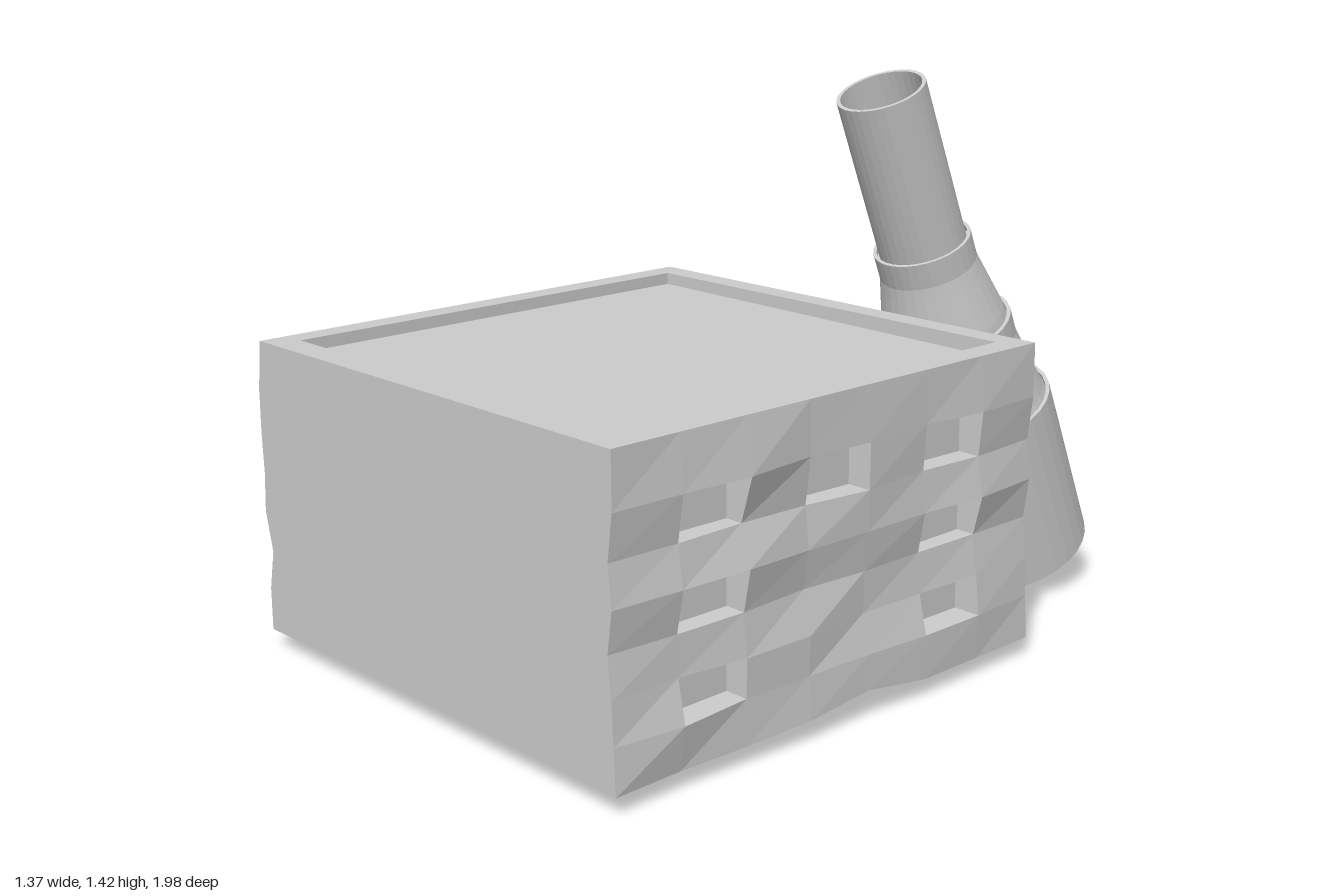
import * as THREE from 'three';

const grey = new THREE.MeshStandardMaterial({ color: 0xcccccc, flatShading: true });
grey.name = 'plainGrey';

// seeded noise in -1..1
let seed = 7;
function noise() {
  seed = (seed * 16807) % 2147483647;
  return (seed / 2147483647) * 2 - 1;
}

// grid lines of the side walls and half-widths along their front edges
const Z = [0.985, 0.8, 0.61, 0.42, 0.23, 0.04, -0.15, -0.345];
const Y = [0.05, 0.16, 0.26, 0.36, 0.46, 0.56, 0.67, 0.8];
const edgeRight = [0.665, 0.66, 0.655, 0.645, 0.66, 0.65, 0.665, 0.665];
const edgeLeft = [0.67, 0.67, 0.65, 0.675, 0.67, 0.675, 0.675, 0.66];
const INNER_X = 0.597, INNER_FRONT = 0.91, INNER_BACK = -0.28, FLOOR_Y = 0.765;

// uneven wall surface as a grid of points, [z index][y index]
function wallGrid(s) {
  return Z.map((z, i) => Y.map((y, j) => {
    const base = (s > 0 ? edgeRight : edgeLeft)[j];
    const top = j === 7, end = i === 0 || i === 7;
    const x = base + (end || top ? 0 : 0.006 + noise() * 0.012);
    const bump = s > 0 && j === 0 && (i === 4 || i === 3) ? (i === 4 ? 0.025 : 0.008) : 0;
    const lift = top ? s * 0.004 : (end || j === 0 ? 0 : noise() * 0.004);
    return [s * x, y + lift + bump, z];
  }));
}

function quadMesh(name, quads) {
  const pos = [];
  for (const [a, b, c, d] of quads) pos.push(...a, ...b, ...c, ...a, ...c, ...d);
  const g = new THREE.BufferGeometry();
  g.setAttribute('position', new THREE.Float32BufferAttribute(pos, 3));
  g.computeVertexNormals();
  const m = new THREE.Mesh(g, grey);
  m.name = name;
  return m;
}

// windows in columns 1, 3, 5 of the top row and 1, 5 of the lower rows
const isWindow = (i, j) => j % 2 === 1 && j < 6 && (i === 1 || i === 5 || (i === 3 && j === 5));

function createBuilding() {
  const building = new THREE.Group();
  building.name = 'building';
  const R = wallGrid(1), L = wallGrid(-1);
  const inner = (p, y) => [
    Math.sign(p[0]) * INNER_X, y ?? p[1],
    THREE.MathUtils.clamp(p[2], INNER_BACK, INNER_FRONT)];
  const rim = [], recess = [];
  const addRim = (a, b) => {
    rim.push([a, b, inner(b), inner(a)]);
    recess.push([inner(a), inner(b), inner(b, FLOOR_Y), inner(a, FLOOR_Y)]);
  };

  // side walls with recessed windows
  for (const [s, G] of [[1, R], [-1, L]]) {
    const wall = [], windows = [];
    for (let i = 0; i < 7; i++) {
      for (let j = 0; j < 7; j++) {
        let c = [G[i][j], G[i + 1][j], G[i + 1][j + 1], G[i][j + 1]];
        if (s < 0) c = [c[1], c[0], c[3], c[2]];
        if (!isWindow(i, j)) { wall.push(c); continue; }
        const back = c.map((p) => [s * 0.6, p[1], p[2]]);
        for (let k = 0; k < 4; k++) {
          const n = (k + 1) % 4;
          windows.push([c[k], c[n], back[n], back[k]]);
        }
        windows.push(back);
      }
      if (s > 0) addRim(G[i][7], G[i + 1][7]);
      else addRim(G[i + 1][7], G[i][7]);
    }
    const side = s > 0 ? 'left' : 'right';
    building.add(quadMesh(side + 'Wall', wall), quadMesh(side + 'Windows', windows));
  }

  // front, back and underside span between the two side walls
  const front = [], back = [], base = [];
  for (let k = 0; k < 7; k++) {
    front.push([L[0][k], R[0][k], R[0][k + 1], L[0][k + 1]]);
    back.push([R[7][k], L[7][k], L[7][k + 1], R[7][k + 1]]);
    base.push([L[k][0], L[k + 1][0], R[k + 1][0], R[k][0]]);
  }
  addRim(L[0][7], R[0][7]);
  addRim(R[7][7], L[7][7]);
  const floor = [[L[0][7], R[0][7], R[7][7], L[7][7]].map((p) => inner(p, FLOOR_Y))];
  building.add(
    quadMesh('frontWall', front), quadMesh('backWall', back), quadMesh('underside', base),
    quadMesh('roofRim', rim), quadMesh('roofRecess', recess), quadMesh('roofFloor', floor));
  return building;
}

// leaning stepped chimney: radius, height along its axis
function createChimney() {
  const profile = [
    [0, 0], [0.23, 0], [0.228, 0.463], [0.218, 0.463], [0.218, 0.45],
    [0.211, 0.475], [0.182, 0.62], [0.177, 0.65], [0.177, 0.71], [0.167, 0.71], [0.167, 0.698],
    [0.162, 0.73], [0.134, 0.86], [0.128, 0.89], [0.128, 0.96], [0.119, 0.96], [0.119, 0.945],
    [0.114, 0.945], [0.114, 1.39], [0.104, 1.39], [0.104, 0.4], [0, 0.4],
  ].map(([r, y]) => new THREE.Vector2(r, y));
  const chimney = new THREE.Mesh(new THREE.LatheGeometry(profile, 32), grey);
  chimney.name = 'chimney';
  chimney.position.set(0.222, 0.09, -0.785);
  chimney.rotation.x = THREE.MathUtils.degToRad(22);
  return chimney;
}

export function createModel() {
  seed = 7;
  const model = new THREE.Group();
  model.name = 'factory';
  model.add(createBuilding(), createChimney());
  return model;
}
